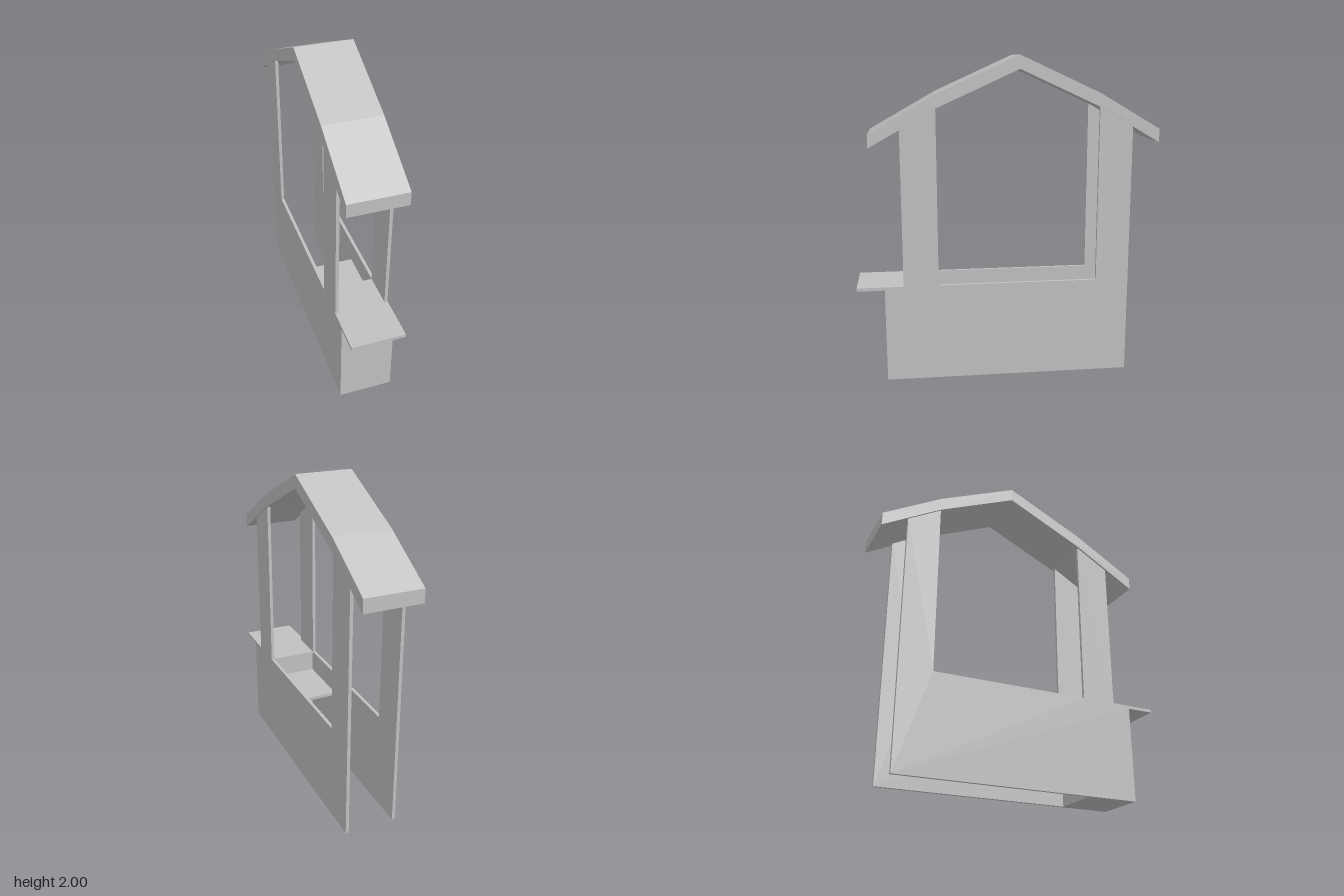
import * as THREE from 'three';

const grey = new THREE.MeshStandardMaterial({ color: 0xc0c0c0 });
grey.name = 'plain grey';

// Extrudes a side profile of [z, y] points across the model from x0 to x1.
function slab(name, points, x0, x1) {
  const shape = new THREE.Shape(points.map(([z, y]) => new THREE.Vector2(z, y)));
  const geometry = new THREE.ExtrudeGeometry(shape, { depth: x1 - x0, bevelEnabled: false });
  geometry.rotateY(-Math.PI / 2).translate(x1, 0, 0);
  const mesh = new THREE.Mesh(geometry, grey);
  mesh.name = name;
  return mesh;
}

const rect = (z0, z1, y0, y1) => [[z0, y0], [z1, y0], [z1, y1], [z0, y1]];

export function createModel() {
  const group = new THREE.Group();
  group.name = 'marketStall';
  const right = -0.168, left = 0.165, thick = 0.02;

  // Side panels: low wall with a front and a back post cut from one board
  const side = [
    [0.76, 0], [0.76, 0.588], [0.645, 0.608], [0.645, 1.59], [0.43, 1.71],
    [0.43, 0.608], [-0.56, 0.608], [-0.56, 1.71], [-0.767, 1.59], [-0.767, 0],
  ];
  group.add(slab('rightSidePanel', side, right, right + thick));
  group.add(slab('leftSidePanel', side, left - thick, left));

  // Front cabinet, counter top and lower inside shelf
  const inR = right + thick, inL = left - thick;
  group.add(slab('frontCabinet', rect(0.44, 0.76, 0, 0.59), inR, inL));
  group.add(slab('counterInside', rect(0.43, 0.645, 0.588, 0.608), inR, inL));
  group.add(slab('counterTop', rect(0.645, 0.93, 0.588, 0.608), right, left));
  group.add(slab('insideShelf', rect(0.06, 0.44, 0.445, 0.465), inR, inL));

  // Bent gable roof
  const ridge = [[0.83, 1.545], [0.425, 1.775], [-0.07, 2], [-0.565, 1.772], [-0.93, 1.557]];
  const underside = ridge.map(([z, y]) => [z, y - 0.082]).reverse();
  group.add(slab('roof', [...ridge, ...underside], -0.18, 0.175));

  return group;
}
